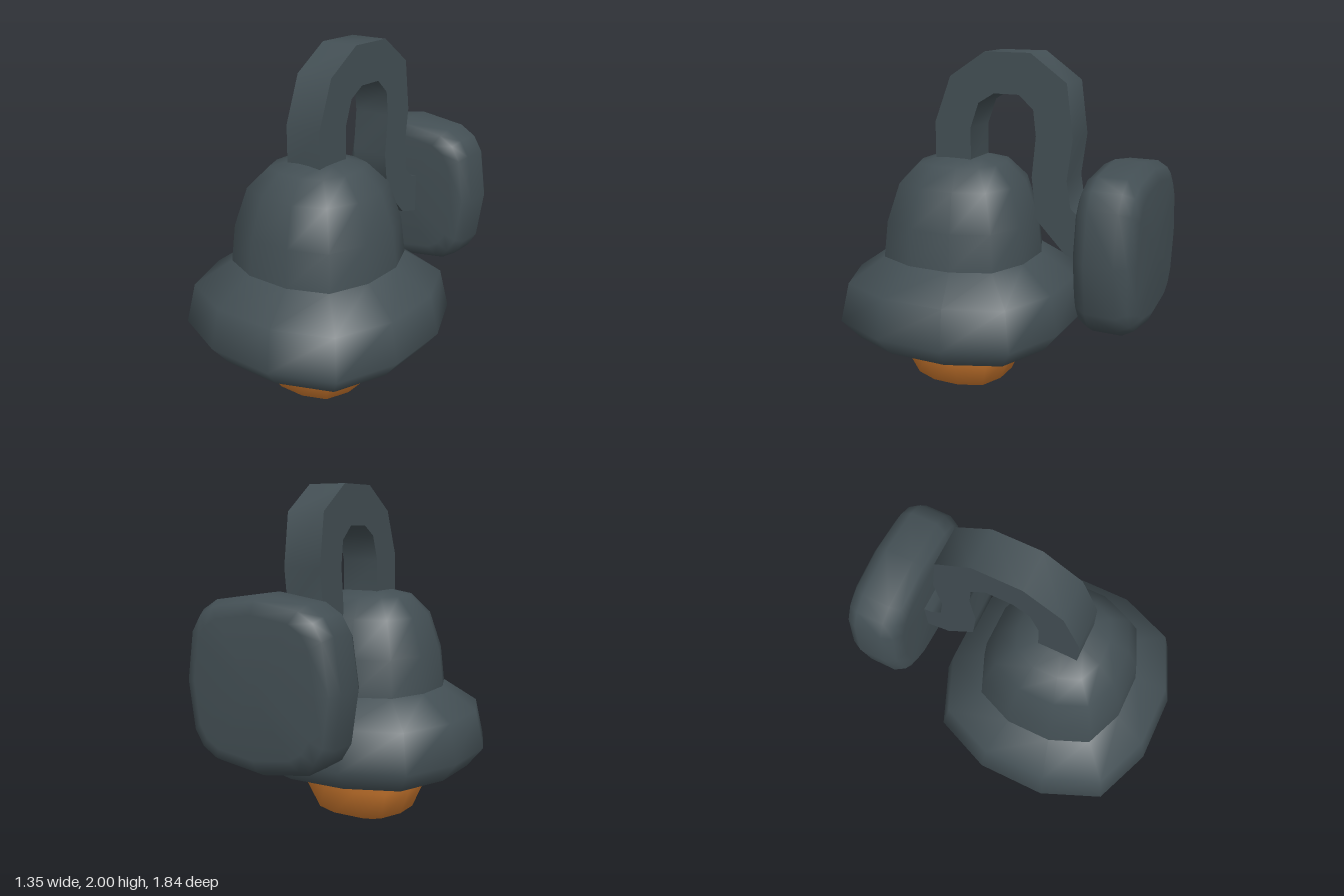
import * as THREE from 'three';
import { toCreasedNormals } from 'three/addons/utils/BufferGeometryUtils.js';

// Expand a quarter outline to a full loop by turning it four times
function fullOutline(quarter) {
  const pts = [];
  for (let q = 0; q < 4; q++) {
    for (const [x, z] of quarter) {
      const r = [[x, z], [-z, x], [-x, -z], [z, -x]][q];
      pts.push(r);
    }
  }
  return pts;
}

// Smooth loft of an outline through [scale, height] rings, rising in y
function loft(outline, rings, capBottom, capTop) {
  const n = outline.length, pos = [], idx = [];
  for (const [s, h] of rings) for (const [x, z] of outline) pos.push(x * s, h, z * s);
  for (let k = 0; k < rings.length - 1; k++) {
    for (let i = 0; i < n; i++) {
      const a = k * n + i, b = k * n + (i + 1) % n;
      idx.push(a, a + n, b, b, a + n, b + n);
    }
  }
  const cap = (k, top) => {
    const c = pos.length / 3;
    pos.push(0, rings[k][1], 0);
    for (let i = 0; i < n; i++) {
      const a = k * n + i, b = k * n + (i + 1) % n;
      if (top) idx.push(c, b, a); else idx.push(c, a, b);
    }
  };
  if (capBottom) cap(0, false);
  if (capTop) cap(rings.length - 1, true);
  const g = new THREE.BufferGeometry();
  g.setAttribute('position', new THREE.Float32BufferAttribute(pos, 3));
  g.setIndex(idx);
  g.computeVertexNormals();
  return g;
}

export function createModel() {
  const group = new THREE.Group();
  const metal = new THREE.MeshStandardMaterial({ color: 0x434f54, side: THREE.DoubleSide });
  metal.name = 'dark metal';
  const glow = new THREE.MeshStandardMaterial({ color: 0xcc782e });
  glow.name = 'amber glass';

  const add = (name, geo, mat, z = 0) => {
    const m = new THREE.Mesh(geo, mat);
    m.name = name;
    m.position.z = z;
    group.add(m);
    return m;
  };

  // Twelve-sided rounded square, unit half width
  const round12 = fullOutline([[1, -0.295], [1, 0.295], [0.795, 0.795]]);
  const lampZ = 0.24;

  // Hollow flared shade, open underneath
  add('shade', loft(round12, [[0.585, 0.35], [0.677, 0.465], [0.63, 0.69], [0.437, 0.83]], false, false), metal, lampZ);

  // Dome above the shade
  add('dome', loft(round12, [[0.437, 0.83], [0.415, 1.04], [0.348, 1.255], [0.24, 1.37], [0.125, 1.4]], false, true), metal, lampZ);

  // Bulb
  add('bulb', loft(round12, [[0.105, 0], [0.27, 0.07], [0.343, 0.24], [0.357, 0.4],
    [0.343, 0.55], [0.27, 0.72], [0.105, 0.79]], true, true), glow, lampZ);

  // Gooseneck arm: side profile as [z, y], extruded across x
  const profile = [
    [0.365, 1.33], [0.365, 1.6], [0.265, 1.86], [0.05, 2], [-0.22, 2], [-0.43, 1.85],
    [-0.47, 1.56], [-0.44, 1.33], [-0.465, 1.18], [-0.53, 1.12], [-0.64, 1.095],
    [-0.64, 0.865], [-0.58, 0.88], [-0.44, 0.915], [-0.265, 1.095], [-0.235, 1.33],
    [-0.257, 1.56], [-0.24, 1.7], [-0.155, 1.777], [-0.005, 1.777], [0.09, 1.72],
    [0.14, 1.58], [0.14, 1.33],
  ];
  const shape = new THREE.Shape(profile.map(([z, y]) => new THREE.Vector2(z, y)));
  const armWidth = 0.225;
  const arm = new THREE.ExtrudeGeometry(shape, { depth: armWidth, bevelEnabled: false });
  arm.rotateY(-Math.PI / 2);
  arm.translate(armWidth / 2, 0, 0);
  add('arm', toCreasedNormals(arm, 1), metal);

  // Pillow-shaped wall mount
  const round16 = fullOutline([[0.46, 0], [0.42, 0.275], [0.365, 0.365], [0.275, 0.42]]);
  const mount = loft(round16, [[0.79, -0.92], [0.93, -0.89], [1, -0.83], [1, -0.67], [0.93, -0.61], [0.79, -0.58]], true, true);
  mount.rotateX(Math.PI / 2);
  add('wallMount', mount, metal).position.y = 0.99;

  return group;
}
